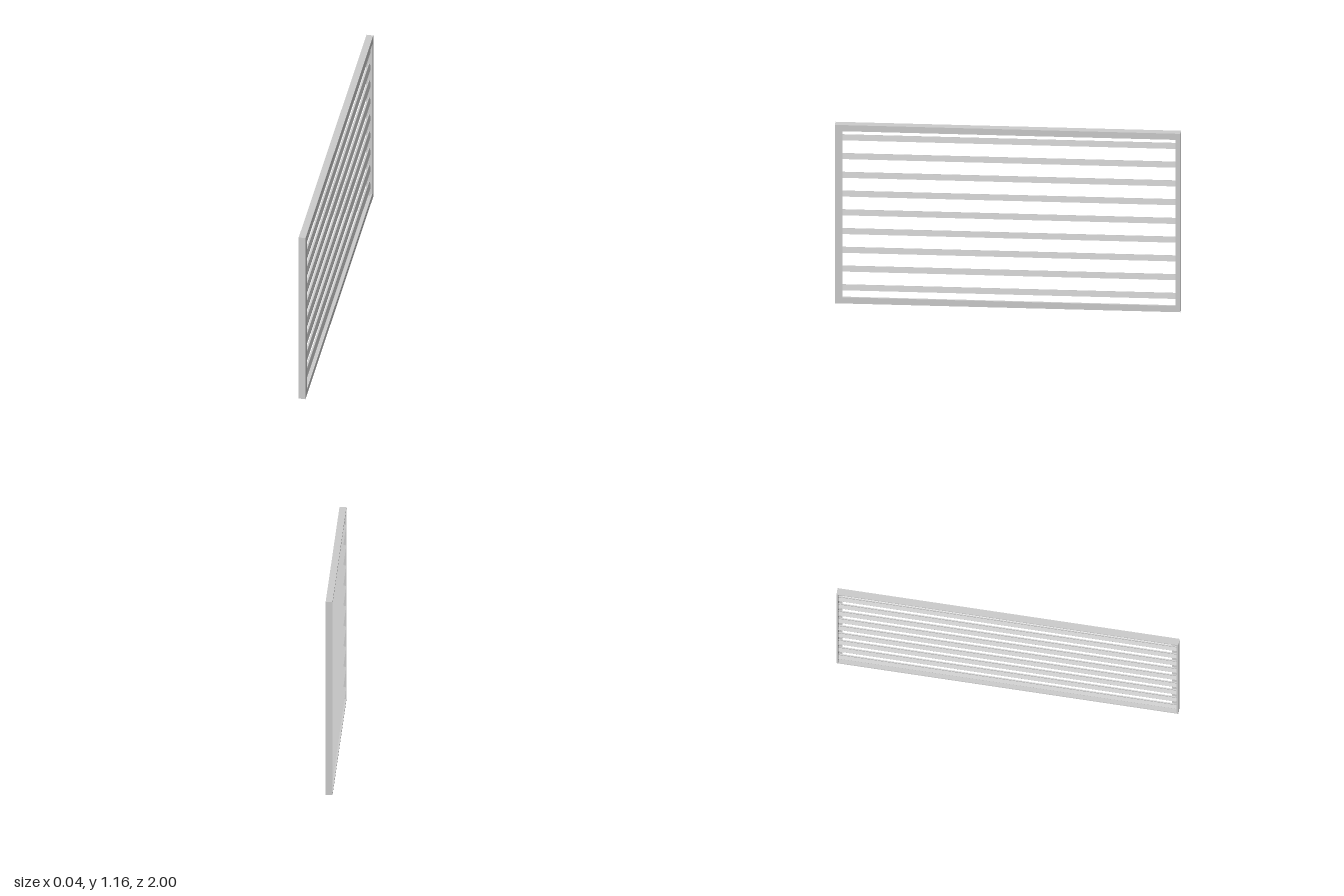
import * as THREE from 'three';

const material = new THREE.MeshStandardMaterial({ color: 0xcccccc, flatShading: true });
const HEIGHT = 1.16, DEPTH = 0.02, WALL = 0.01;

function polygon(points, PathType = THREE.Shape) {
  return new PathType(points.map(([x, y]) => new THREE.Vector2(x, y)));
}

function rectangle(x0, x1, y0, y1) {
  return [[x0, y0], [x1, y0], [x1, y1], [x0, y1]];
}

// Rectangular ring in the z-y plane, extruded along x from x0 to x1
function ring(name, hole, x0, x1) {
  const shape = polygon(rectangle(-1, 1, 0, HEIGHT));
  shape.holes.push(polygon(hole, THREE.Path));
  const geometry = new THREE.ExtrudeGeometry(shape, { depth: x1 - x0, bevelEnabled: false });
  geometry.rotateY(Math.PI / 2).translate(x0, 0, 0);
  const mesh = new THREE.Mesh(geometry, material);
  mesh.name = name;
  return mesh;
}

export function createModel() {
  const model = new THREE.Group();
  model.name = 'louvredGrille';

  // Angle-section frame: a face flange and a thin wall running behind it
  const frame = new THREE.Group();
  frame.name = 'frame';
  frame.add(
    ring('faceFlange', rectangle(-0.957, 0.971, 0.04, HEIGHT - 0.04), DEPTH - WALL, DEPTH),
    ring('outerWall', rectangle(-1 + WALL, 1 - WALL, WALL, HEIGHT - WALL), -DEPTH, DEPTH - WALL),
  );
  model.add(frame);

  // Angle-section slats, leaning back, spanning from wall to wall
  const leg = 0.035, foot = 0.028, t = 0.006, length = 2 - 2 * WALL;
  const profile = polygon([[0, 0], [0, leg], [-t, leg], [-t, t], [-foot, t], [-foot, 0]]);
  const slatGeometry = new THREE.ExtrudeGeometry(profile, { depth: length, bevelEnabled: false });
  slatGeometry.translate(0, 0, -length / 2).rotateZ(0.27);
  const slats = new THREE.Group();
  slats.name = 'slats';
  for (let i = 0; i < 9; i++) {
    const slat = new THREE.Mesh(slatGeometry, material);
    slat.name = 'slat';
    slat.position.set(0.009, 0.08 + i * 0.1219, 0);
    slats.add(slat);
  }
  model.add(slats);
  return model;
}
